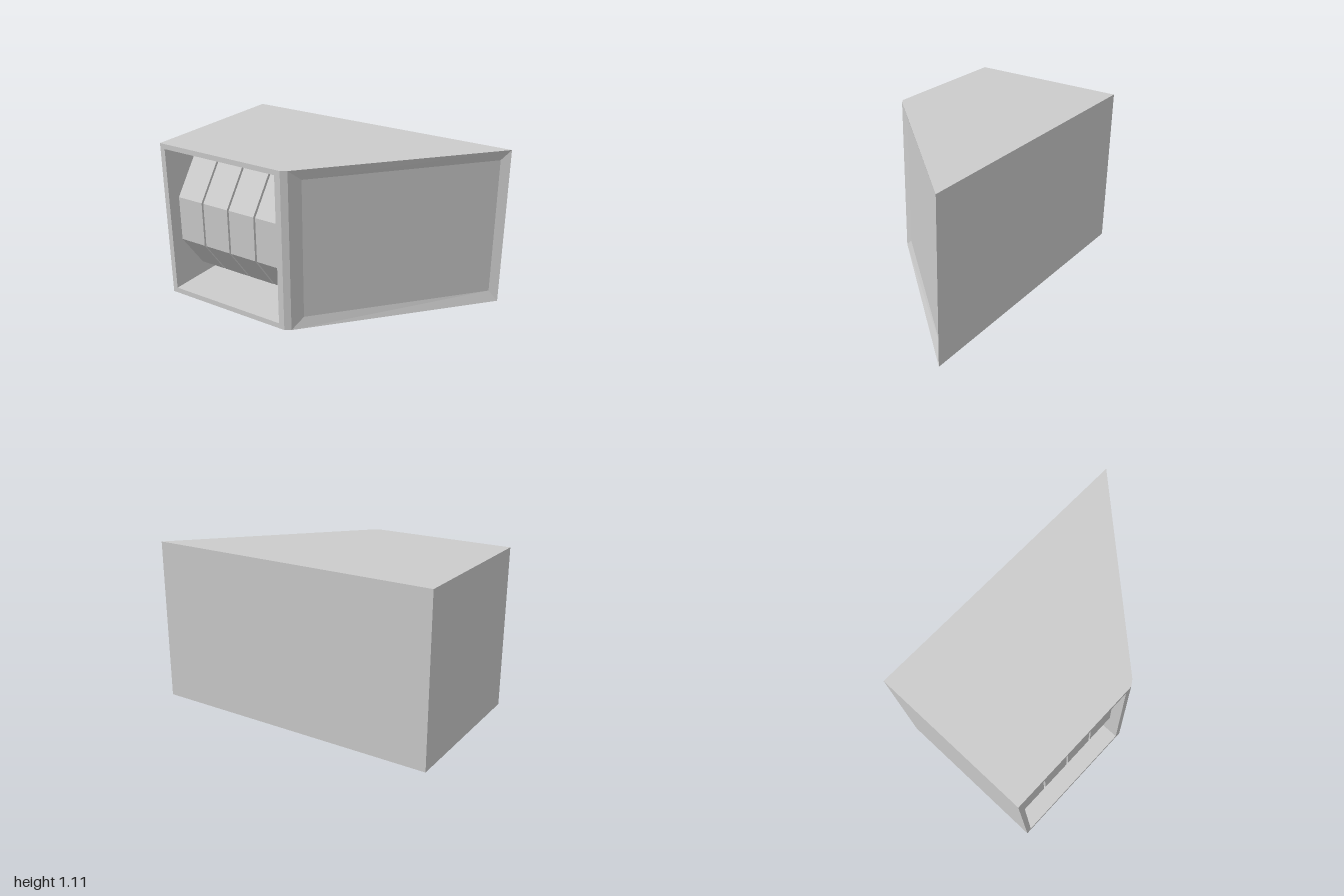
import * as THREE from 'three';

const H = 1.11, D = 0.555;

// Flat-shaded mesh from convex polygons, corners counter-clockwise from outside
function polyMesh(name, polys, material) {
  const pos = [];
  for (const p of polys) {
    for (let i = 1; i < p.length - 1; i++) pos.push(...p[0], ...p[i], ...p[i + 1]);
  }
  const geo = new THREE.BufferGeometry();
  geo.setAttribute('position', new THREE.Float32BufferAttribute(pos, 3));
  geo.computeVertexNormals();
  const mesh = new THREE.Mesh(geo, material);
  mesh.name = name;
  return mesh;
}

// Upright rectangle between two plan points [x, z]
const rect = (a, b, y0, y1) => [
  [a[0], y0, a[1]], [b[0], y0, b[1]], [b[0], y1, b[1]], [a[0], y1, a[1]],
];

// Band of quads joining two matching loops
const ring = (a, b) => a.map((p, i) => {
  const j = (i + 1) % a.length;
  return [p, a[j], b[j], b[i]];
});

export function createModel() {
  const model = new THREE.Group();
  model.name = 'reelCabinet';
  const grey = new THREE.MeshStandardMaterial({ color: 0xcccccc, flatShading: true });

  // Footprint: front left, chamfered corner, slanted side, back
  const plan = [[-1, D], [-0.03, D], [0.01, 0.53], [1, -D], [-1, -D]];
  const wall = (i) => rect(plan[i], plan[(i + 1) % plan.length], 0, H);

  // Plain outer walls, top and bottom
  model.add(polyMesh('cabinetShell', [
    wall(1), wall(3), wall(4),
    plan.map(([x, z]) => [x, H, z]),
    plan.map(([x, z]) => [x, 0, z]).reverse(),
  ], grey));

  // Front frame and the deep reel compartment
  const opening = rect([-0.963, D], [-0.072, D], 0.038, 1.075);
  const back = opening.map(([x, y]) => [x, y, -0.53]);
  model.add(polyMesh('frontFrame', ring(wall(0), opening), grey));
  model.add(polyMesh('reelCompartment', [...ring(opening, back), back], grey));

  // Slanted side with bevelled, sunken panel
  const panel = rect([0.055, 0.45], [0.94, -0.53], 0.075, 1.037);
  model.add(polyMesh('sidePanelBevel', ring(wall(2), panel), grey));
  model.add(polyMesh('sidePanel', [panel], grey));

  // Four ten-sided reels, a vertex at the top
  const reels = new THREE.Group();
  reels.name = 'reels';
  const width = 0.2025, gap = 0.015;
  const reelGeo = new THREE.CylinderGeometry(0.51, 0.51, width, 10, 1, false, Math.PI / 2);
  reelGeo.rotateZ(Math.PI / 2);
  for (let i = 0; i < 4; i++) {
    const reel = new THREE.Mesh(reelGeo, grey);
    reel.name = `reel${i + 1}`;
    reel.position.set(-0.941 + width / 2 + i * (width + gap), 0.557, 0);
    reels.add(reel);
  }
  model.add(reels);
  return model;
}
